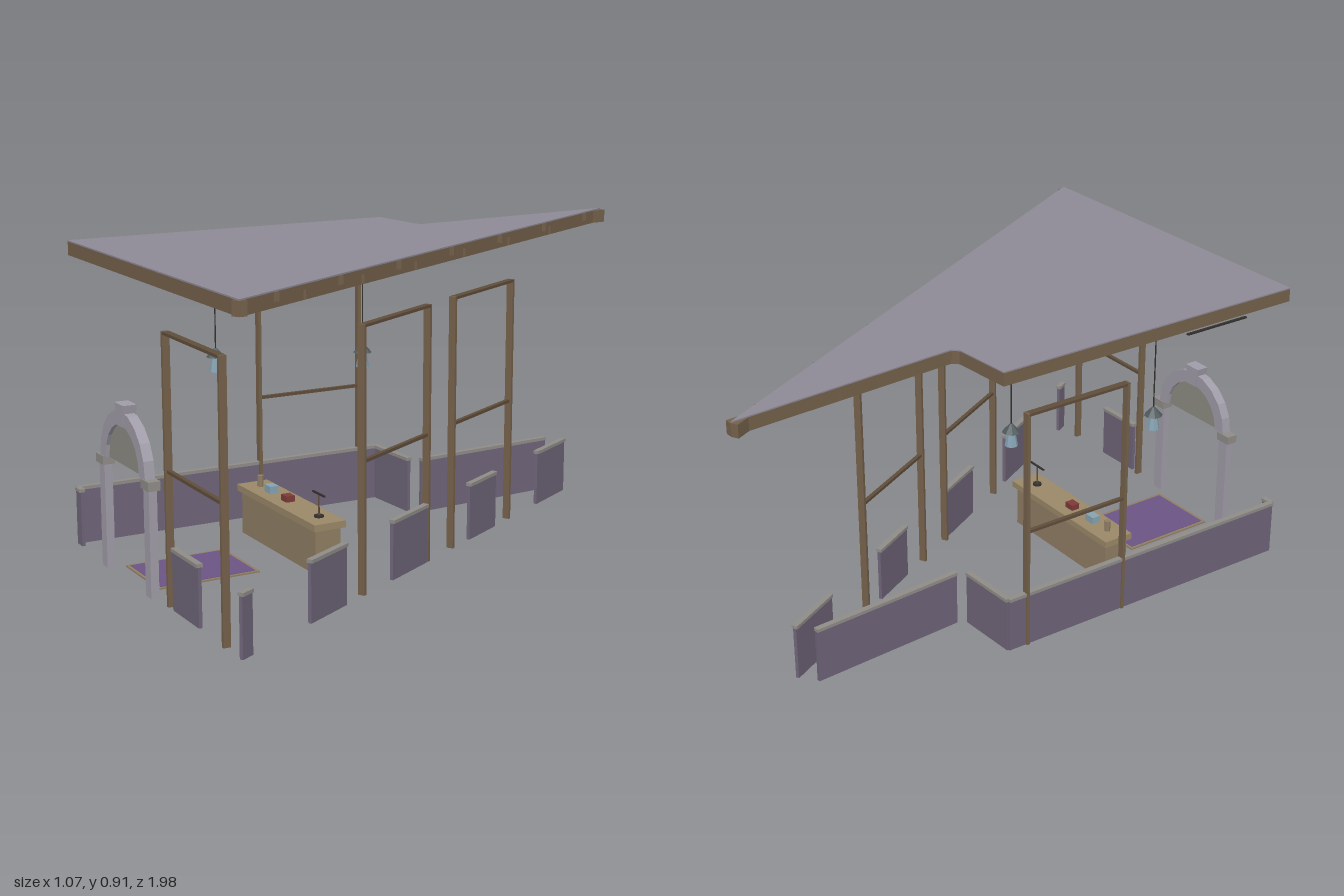
import * as THREE from 'three';

const mat = (color, double) => new THREE.MeshStandardMaterial({
  color, flatShading: true, side: double ? THREE.DoubleSide : THREE.FrontSide });
const WOOD = mat(0x74604a), DARKWOOD = mat(0x5f4d3a), WALL = mat(0x6e6478), CAP = mat(0x8f8c88),
  ROOF = mat(0x8e8a96), STONE = mat(0xa09ca8), PANEL = mat(0x8c8b82), TAN = mat(0x8f7d63),
  TANTOP = mat(0x9a8868), METAL = mat(0x4f5a5c), GLASS = mat(0x86a3b3), RUG = mat(0x6b5585),
  BLACK = mat(0x33302e), RED = mat(0x7d3a38);

// Plan outline of the building: apex, notch, back corner, front right, front left
const OUTLINE = [[0.15, -0.985], [-0.015, -0.3], [-0.035, -0.288], [-0.22, -0.33],
  [-0.535, 0.655], [0.53, 0.99]];
const TURN = -Math.atan2(0.335, 1.065); // direction of the front edge

function add(parent, name, geometry, material, x = 0, y = 0, z = 0) {
  const m = new THREE.Mesh(geometry, material);
  m.name = name;
  m.position.set(x, y, z);
  parent.add(m);
  return m;
}

// Box running between two plan points, from height y0 to y1
function bar(parent, name, [x1, z1], [x2, z2], y0, y1, width, material) {
  const len = Math.hypot(x2 - x1, z2 - z1);
  const m = add(parent, name, new THREE.BoxGeometry(len, y1 - y0, width), material,
    (x1 + x2) / 2, (y0 + y1) / 2, (z1 + z2) / 2);
  m.rotation.y = -Math.atan2(z2 - z1, x2 - x1);
  return m;
}

function group(parent, name, x = 0, y = 0, z = 0, turn = 0) {
  const g = new THREE.Group();
  g.name = name;
  g.position.set(x, y, z);
  g.rotation.y = turn;
  parent.add(g);
  return g;
}

// Low wall panel with a coping
function wall(parent, a, b) {
  const g = group(parent, 'lowWall');
  bar(g, 'wallPanel', a, b, 0.006, 0.17, 0.01, WALL);
  bar(g, 'wallCoping', a, b, 0.17, 0.18, 0.018, CAP);
}

// Tall opening: two posts, a head and a middle rail
function frame(parent, a, b) {
  const g = group(parent, 'tallFrame');
  const len = Math.hypot(b[0] - a[0], b[1] - a[1]);
  const ux = (b[0] - a[0]) / len * 0.005, uz = (b[1] - a[1]) / len * 0.005;
  for (const [x, z] of [a, b])
    bar(g, 'framePost', [x - ux, z - uz], [x + ux, z + uz], 0.006, 0.755, 0.021, WOOD);
  bar(g, 'frameHead', a, b, 0.747, 0.755, 0.021, DARKWOOD);
  bar(g, 'frameRail', a, b, 0.376, 0.385, 0.012, DARKWOOD);
}

// Parts of a straight line that lie inside the outline
function clipLine([px, pz], [dx, dz]) {
  const ts = [];
  OUTLINE.forEach(([ax, az], i) => {
    const [bx, bz] = OUTLINE[(i + 1) % OUTLINE.length];
    const ex = bx - ax, ez = bz - az, det = dx * ez - dz * ex;
    if (Math.abs(det) < 1e-6) return;
    const s = ((ax - px) * dz - (az - pz) * dx) / det;
    if (s >= 0 && s < 1) ts.push(((ax - px) * ez - (az - pz) * ex) / det);
  });
  ts.sort((a, b) => a - b);
  const out = [];
  for (let i = 0; i + 1 < ts.length; i += 2)
    out.push([ts[i], ts[i + 1]].map(t => [px + dx * t, pz + dz * t]));
  return out;
}

function buildRoof(root) {
  const roof = group(root, 'roof');
  const shape = new THREE.Shape(OUTLINE.map(([x, z]) => new THREE.Vector2(x, -z)));
  const plate = new THREE.ExtrudeGeometry(shape, { depth: 0.004, bevelEnabled: false });
  plate.rotateX(-Math.PI / 2);
  add(roof, 'roofPlate', plate, ROOF, 0, 0.904, 0);
  // Edge beams, set just inside the outline
  OUTLINE.forEach((a, i) => {
    const b = OUTLINE[(i + 1) % OUTLINE.length];
    const len = Math.hypot(b[0] - a[0], b[1] - a[1]);
    const nx = (b[1] - a[1]) / len * 0.011, nz = -(b[0] - a[0]) / len * 0.011;
    bar(roof, 'edgeBeam', [a[0] + nx, a[1] + nz], [b[0] + nx, b[1] + nz], 0.865, 0.904, 0.022, WOOD);
  });
  // Rafters running back from the front edge, and cross purlins
  const c = Math.cos(TURN), s = -Math.sin(TURN);
  for (let k = 0; k < 8; k++) {
    const x = -0.46 + 0.131 * k;
    for (const [a, b] of clipLine([x, 0.655 + (x + 0.535) * 0.3146], [s, -c]))
      bar(roof, 'rafter', a, b, 0.88, 0.904, 0.016, WOOD);
  }
  for (let k = 1; k < 7; k++)
    for (const [a, b] of clipLine([-0.535 + s * 0.24 * k, 0.655 - c * 0.24 * k], [c, s]))
      bar(roof, 'purlin', a, b, 0.867, 0.89, 0.016, WOOD);
}

function buildArch(root) {
  const g = group(root, 'archway', -0.158, 0, 0.772, TURN);
  for (const side of [-1, 1]) {
    add(g, 'archPost', new THREE.BoxGeometry(0.037, 0.31, 0.024), STONE, side * 0.156, 0.155, 0);
    add(g, 'archCapital', new THREE.BoxGeometry(0.052, 0.026, 0.036), CAP, side * 0.16, 0.318, 0);
  }
  // Ring of flat-sided stones
  const n = 10;
  for (let i = 0; i < n; i++) {
    const pt = (r, k) => new THREE.Vector2(Math.cos(k * Math.PI / n) * r, Math.sin(k * Math.PI / n) * r);
    const stone = new THREE.Shape([pt(0.158, i), pt(0.158, i + 1), pt(0.118, i + 1), pt(0.118, i)]);
    add(g, 'archStone', new THREE.ExtrudeGeometry(stone, { depth: 0.03, bevelEnabled: false }),
      STONE, 0, 0.331, -0.015);
  }
  const key = new THREE.Shape([[-0.019, 0], [0.019, 0], [0.03, 0.062], [-0.03, 0.062]]
    .map(p => new THREE.Vector2(...p)));
  add(g, 'keystone', new THREE.ExtrudeGeometry(key, { depth: 0.04, bevelEnabled: false }),
    STONE, 0, 0.447, -0.02);
  const infill = new THREE.Shape();
  infill.absarc(0, 0, 0.12, 0, Math.PI);
  add(g, 'archInfill', new THREE.ExtrudeGeometry(infill,
    { depth: 0.008, bevelEnabled: false, curveSegments: 10 }), PANEL, 0, 0.331, -0.004);
}

function buildCounter(root) {
  const g = group(root, 'counter', -0.01, 0, 0.29, TURN);
  add(g, 'counterBody', new THREE.BoxGeometry(0.465, 0.13, 0.08), TAN, 0, 0.071, 0);
  add(g, 'counterTop', new THREE.BoxGeometry(0.49, 0.02, 0.1), TANTOP, 0, 0.146, 0);
  add(g, 'cup', new THREE.CylinderGeometry(0.01, 0.009, 0.034, 8), TAN, -0.188, 0.173, 0);
  add(g, 'blueBox', new THREE.BoxGeometry(0.036, 0.022, 0.028), GLASS, -0.115, 0.167, 0);
  add(g, 'redBox', new THREE.BoxGeometry(0.034, 0.018, 0.028), RED, -0.01, 0.165, 0);
  // Desk stand with a crossbar
  add(g, 'standBase', new THREE.CylinderGeometry(0.014, 0.014, 0.006, 10), BLACK, 0.178, 0.159, 0);
  add(g, 'standStem', new THREE.CylinderGeometry(0.003, 0.003, 0.066, 6), DARKWOOD, 0.178, 0.19, 0);
  add(g, 'standBar', new THREE.BoxGeometry(0.07, 0.004, 0.006), BLACK, 0.178, 0.224, 0);
}

function buildLamp(root, x, z) {
  const g = group(root, 'pendantLamp', x, 0, z);
  add(g, 'cord', new THREE.CylinderGeometry(0.002, 0.002, 0.31, 6), BLACK, 0, 0.725, 0);
  add(g, 'lampHat', new THREE.CylinderGeometry(0.004, 0.028, 0.027, 8), METAL, 0, 0.563, 0);
  add(g, 'lampShade', new THREE.CylinderGeometry(0.012, 0.02, 0.045, 8), GLASS, 0, 0.528, 0);
}

export function createModel() {
  const root = new THREE.Group();
  root.name = 'pavilion';

  buildRoof(root);

  // Long walls on the left-hand and notch sides
  wall(root, [-0.522, 0.66], [-0.212, -0.3]);
  wall(root, [-0.212, -0.3], [-0.024, -0.25]);
  wall(root, [0.004, -0.272], [0.122, -0.75]);
  // Short panels on the front edge
  wall(root, [-0.522, 0.66], [-0.487, 0.671]);
  wall(root, [0.128, 0.86], [0.282, 0.908]);
  // Separate panels along the long sloping side
  const side = z => [0.329 + 0.193 * z, z];
  for (const [z1, z2] of [[0.99, 0.947], [0.69, 0.52], [0.285, 0.098], [-0.15, -0.31], [-0.585, -0.775]])
    wall(root, side(z1), side(z2));

  // Tall frames
  frame(root, [0.1, 0.848], [0.43, 0.956]);
  frame(root, [0.408, 0.432], [0.341, 0.09]);
  frame(root, [0.313, -0.053], [0.247, -0.4]);
  frame(root, [-0.338, 0.092], [-0.232, -0.24]);

  buildArch(root);
  buildCounter(root);

  // Rug with a border
  const rug = group(root, 'rug', -0.105, 0, 0.587, TURN);
  add(rug, 'rugBorder', new THREE.BoxGeometry(0.235, 0.004, 0.31), TAN, 0, 0.002, 0);
  add(rug, 'rugField', new THREE.BoxGeometry(0.215, 0.004, 0.29), RUG, 0, 0.0035, 0);

  buildLamp(root, -0.289, 0.315);
  buildLamp(root, -0.018, -0.03);

  // Hanging rail under the eave
  bar(root, 'hangingRail', [-0.465, 0.525], [-0.397, 0.312], 0.838, 0.843, 0.008, BLACK);
  return root;
}
